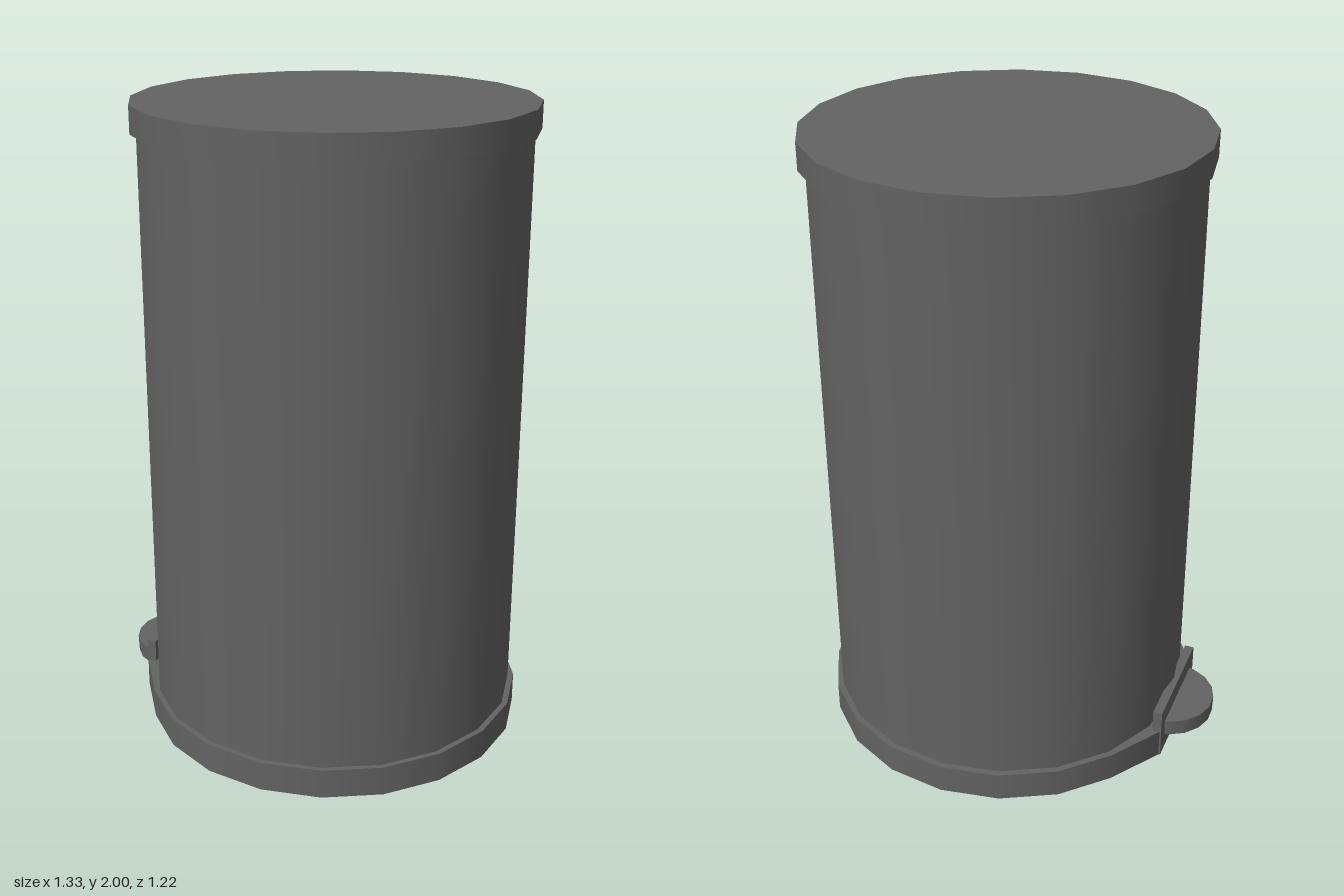
import * as THREE from 'three';

const SIDES = 20;
const CX = 0.057; // axis of the bin, offset to make room for the pedal

export function createModel() {
  const group = new THREE.Group();
  const material = new THREE.MeshStandardMaterial({ color: 0x636363 });

  const add = (name, geometry, x, y, z) => {
    const mesh = new THREE.Mesh(geometry, material);
    mesh.name = name;
    mesh.position.set(x, y, z);
    group.add(mesh);
  };
  const drum = (radius, height) => new THREE.CylinderGeometry(radius, radius, height, SIDES);

  // Body and lid
  add('body', drum(0.588, 1.86), CX, 1.0, 0.006);
  add('lid', drum(0.608, 0.083), 0.053, 1.9585, -0.004);

  // Base ring, its pedal side pulled out into a flat face
  const base = drum(0.606, 0.095);
  const p = base.attributes.position;
  for (let i = 0; i < p.count; i++) {
    if (p.getX(i) < -0.55) p.setX(i, -0.604);
  }
  add('base', base, CX, 0.0475, 0.004);

  // Upright plate behind the pedal
  add('pedalPlate', new THREE.BoxGeometry(0.03, 0.17, 0.38), -0.533, 0.085, 0);

  // Half-round foot pedal
  const pedal = new THREE.CylinderGeometry(0.157, 0.155, 0.055, 9, 1, false, Math.PI, Math.PI);
  add('pedal', pedal, -0.51, 0.0825, 0);

  return group;
}
